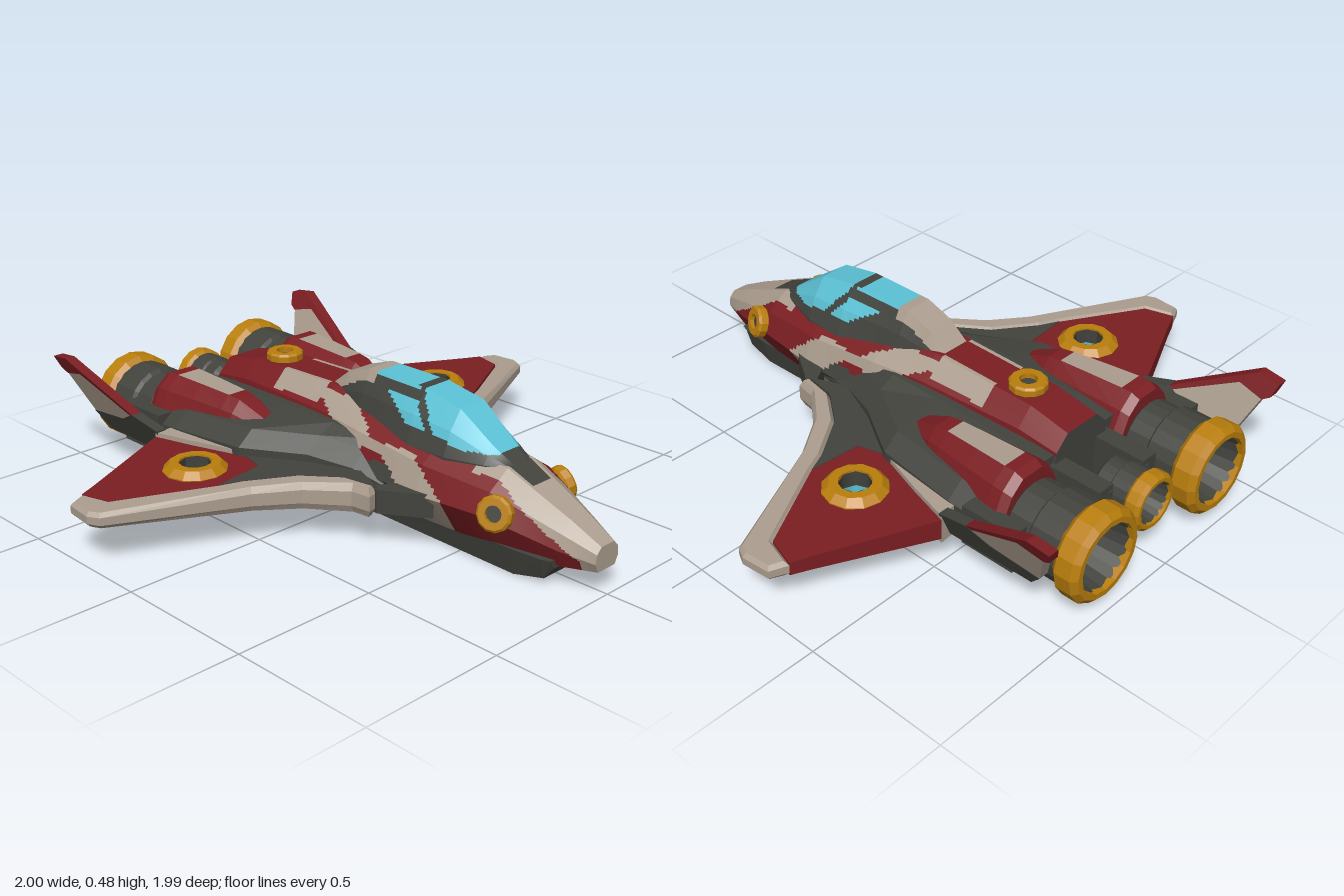
import * as THREE from 'three';

const mat = (name, color) => Object.assign(new THREE.MeshStandardMaterial({ color, side: THREE.DoubleSide }), { name });
const red = mat('red', 0x7b1e22), beige = mat('beige', 0xac9e8f), dark = mat('dark grey', 0x42433d);
const gold = mat('gold', 0xba7f0d), glass = mat('cyan glass', 0x5cc2d6);
const palette = [red, beige, dark, gold, glass];
const lerp = THREE.MathUtils.lerp;

function add(parent, name, geometry, material) {
  const mesh = new THREE.Mesh(geometry, material);
  mesh.name = name;
  parent.add(mesh);
  return mesh;
}

function faceted(geometry) {
  const g = geometry.index ? geometry.toNonIndexed() : geometry;
  g.computeVertexNormals();
  return g;
}

// Skins closed cross-sections (counter-clockwise, front to back); rule(|x|, y, z) picks each facet's material
function loft(parent, name, sections, rule, rows = 1, cols = 1) {
  const rings = [];
  const ringOf = ({ z, pts }) => pts.flatMap((p, i) => {
    const q = pts[(i + 1) % pts.length];
    return Array.from({ length: cols }, (_, k) => [lerp(p[0], q[0], k / cols), lerp(p[1], q[1], k / cols), z]);
  });
  sections.forEach((s, i) => {
    const a = ringOf(s);
    if (i === sections.length - 1) return rings.push(a);
    const b = ringOf(sections[i + 1]);
    for (let k = 0; k < rows; k++) rings.push(a.map((p, j) => p.map((v, c) => lerp(v, b[j][c], k / rows))));
  });
  const buckets = palette.map(() => []);
  const facet = (...t) => {
    const [x, y, z] = [0, 1, 2].map(c => t.reduce((sum, p) => sum + p[c], 0) / t.length);
    const bucket = buckets[palette.indexOf(rule(Math.abs(x), y, z))];
    for (let i = 1; i < t.length - 1; i++) bucket.push(...t[0], ...t[i], ...t[i + 1]);
  };
  const n = rings[0].length;
  for (let i = 0; i < rings.length - 1; i++) for (let j = 0; j < n; j++) {
    const k = (j + 1) % n;
    facet(rings[i][j], rings[i + 1][j], rings[i + 1][k], rings[i][k]);
  }
  facet(...rings[0]);
  facet(...rings[rings.length - 1].slice().reverse());
  const g = new THREE.BufferGeometry();
  g.setAttribute('position', new THREE.Float32BufferAttribute(buckets.flat(), 3));
  let start = 0;
  buckets.forEach((b, i) => {
    if (b.length) g.addGroup(start, b.length / 3, i);
    start += b.length / 3;
  });
  g.computeVertexNormals();
  return add(parent, name, g, palette);
}

// Symmetric section from right-half points listed bottom to top
const both = half => [...half, ...half.slice().reverse().map(([x, y]) => [-x, y])];

function lathe(parent, name, profile, material, sides = 14) {
  return add(parent, name, faceted(new THREE.LatheGeometry(profile.map(p => new THREE.Vector2(...p)), sides)), material);
}

// Bevelled ring about y, from y = 0 to h
function ring(parent, name, rOut, rIn, h, sides = 12) {
  const b = h * 0.2;
  return lathe(parent, name, [[rOut - b, 0], [rOut, b], [rOut, h - b], [rOut - b, h], [rIn, h], [rIn, 0], [rOut - b, 0]], gold, sides);
}

// Flat wing piece from plan points [x, z], thinning toward the tip
function wingPiece(parent, name, plan, half, material, { hole, bevel = 0 } = {}) {
  const shape = new THREE.Shape(plan.map(([x, z]) => new THREE.Vector2(x, -z)));
  if (hole) shape.holes.push(new THREE.Path().absarc(hole[0], -hole[1], hole[2], 0, Math.PI * 2, true));
  const g = new THREE.ExtrudeGeometry(shape, {
    depth: 1, bevelEnabled: true, bevelThickness: 0.5, bevelSize: bevel, bevelOffset: -bevel, bevelSegments: 1, curveSegments: 6,
  }).rotateX(-Math.PI / 2);
  const p = g.attributes.position;
  for (let i = 0; i < p.count; i++) {
    const t = half * lerp(1, 0.5, Math.min(1, Math.max(0, (p.getX(i) - 0.3) / 0.7)));
    p.setY(i, 0.172 + (p.getY(i) - 0.5) * t);
  }
  return add(parent, name, faceted(g), material);
}

// Fin piece from side points [z, y], leaning outward
function finPiece(parent, name, side, thick, material) {
  const shape = new THREE.Shape(side.map(([z, y]) => new THREE.Vector2(-z, y)));
  const g = new THREE.ExtrudeGeometry(shape, { depth: thick, bevelEnabled: false }).rotateY(Math.PI / 2);
  const p = g.attributes.position;
  for (let i = 0; i < p.count; i++) p.setX(i, p.getX(i) - thick / 2 + 0.47 + (p.getY(i) - 0.2) * 0.45);
  return add(parent, name, faceted(g), material);
}

// Exhaust pointing backward
function nozzle(parent, name, x, y, z, s, length) {
  const g = new THREE.Group();
  g.name = name;
  lathe(g, 'exhaustHousing', [[0.1, 0], [0.125, 0.02], [0.125, 0.1], [0.138, 0.11], [0.138, 0.23], [0.118, 0.29], [0.1, 0.17], [0, 0.17]], dark, 20);
  ring(g, 'exhaustRim', 0.156, 0.118, 0.095, 16).position.y = 0.21;
  add(g, 'exhaustCollar', new THREE.CylinderGeometry(0.09, 0.095, 0.02, 14), red).position.y = 0.18;
  add(g, 'exhaustCore', new THREE.CylinderGeometry(0.068, 0.075, 0.03, 14), gold).position.y = 0.195;
  g.rotation.x = -Math.PI / 2;
  g.position.set(x, y, z);
  g.scale.set(s, length, s);
  parent.add(g);
}

// Copies every mesh of a group across x = 0, keeping faces outward
function mirrored(group, name) {
  const out = new THREE.Group();
  out.name = name;
  group.updateMatrixWorld(true);
  group.traverse(m => {
    if (!m.isMesh) return;
    const g = m.geometry.index ? m.geometry.toNonIndexed() : m.geometry.clone();
    g.applyMatrix4(m.matrixWorld).scale(-1, 1, 1);
    const p = g.attributes.position.array;
    for (let i = 0; i < p.length; i += 9) for (let c = 3; c < 6; c++) [p[i + c], p[i + c + 3]] = [p[i + c + 3], p[i + c]];
    g.computeVertexNormals();
    add(out, m.name, g, m.material);
  });
  return out;
}

function hullPaint(x, y, z) {
  if (z > 0.64 && z < 0.73 && x < 0.045 && y > 0.25) return dark;
  if (z > 0.94 || (z > 0.56 && y > Math.min(0.3, 0.125 + (0.93 - z) * 0.62))) return beige;
  if (z < -0.12) {
    if (y < 0.305) return dark;
    return z > -0.34 && x > 0.06 && x < 0.125 ? beige : red;
  }
  // Slanted flank bands
  if (Math.abs(z - 0.41 + Math.max(0, y - 0.2) * 1.3) < 0.085 && y < 0.31) return beige;
  if (y > 0.275 && x > 0.085 && Math.abs(z - 0.11 + (y - 0.3) * 2.2) < 0.09) return beige;
  return y < 0.25 && z < 0.36 ? dark : red;
}

function canopyPaint(x, y, z) {
  if (z < 0.09) return x < 0.068 && y > 0.39 ? beige : dark;
  if (z > 0.605 || y < 0.35) return dark;
  const frame = 0.285 + (0.485 - y) * 0.8;
  if (z > frame + 0.012) return x < 0.112 ? glass : dark;
  if (x < 0.056 && y > 0.46) return z < frame - 0.012 ? glass : dark;
  return z < frame - 0.02 && z > 0.31 - (y - 0.36) * 1.7 && z > 0.16 && y > 0.38 && y < 0.45 ? glass : dark;
}

export function createModel() {
  const model = new THREE.Group();
  model.name = 'starfighter';

  // Fuselage: z, then half-width and height of bottom, flank, shoulder and top
  const hull = [
    [0.99, 0.04, 0.09, 0.055, 0.12, 0.05, 0.15, 0.03, 0.17],
    [0.88, 0.07, 0.08, 0.095, 0.14, 0.08, 0.19, 0.04, 0.225],
    [0.65, 0.11, 0.08, 0.172, 0.2, 0.14, 0.27, 0.06, 0.325],
    [0.4, 0.12, 0.08, 0.202, 0.2, 0.17, 0.29, 0.09, 0.35],
    [0.1, 0.12, 0.08, 0.205, 0.2, 0.165, 0.32, 0.08, 0.38],
    [-0.1, 0.12, 0.07, 0.18, 0.2, 0.145, 0.33, 0.07, 0.4],
    [-0.5, 0.12, 0.06, 0.14, 0.2, 0.125, 0.33, 0.07, 0.39],
    [-0.65, 0.1, 0.07, 0.13, 0.2, 0.12, 0.31, 0.07, 0.36],
  ].map(([z, ...v]) => ({ z, pts: both([0, 2, 4, 6].map(i => [v[i], v[i + 1]])) }));
  loft(model, 'fuselage', hull, hullPaint, 16, 10);

  // Canopy: z, base half-width, top half-width, top height
  const canopy = [[0.65, 0.06, 0.03, 0.325], [0.58, 0.09, 0.045, 0.37], [0.45, 0.13, 0.055, 0.46], [0.3, 0.14, 0.052, 0.488],
    [0.05, 0.115, 0.05, 0.49], [-0.05, 0.09, 0.05, 0.455], [-0.12, 0.08, 0.05, 0.4]]
    .map(([z, w, t, y]) => ({ z, pts: both([[w, 0.29], [w, 0.32], [lerp(w, t, 0.4), lerp(0.32, y, 0.55)], [t, y]]) }));
  loft(model, 'canopy', canopy, canopyPaint, 14, 8);

  // Belly keel
  const keel = [[0.86, 0.08, 0.07], [0.83, 0.09, 0.03], [0.72, 0.1, 0.008], [0.12, 0.1, 0.015], [-0.12, 0.11, 0.045], [-0.62, 0.1, 0.055]]
    .map(([z, w, y]) => ({ z, pts: both([[w, y], [w + 0.02, 0.1]]) }));
  loft(model, 'keel', keel, () => dark);

  // Dark engine bay behind the cockpit
  const bay = [[0.32, 0.19, 0.13, 0.22], [0.15, 0.23, 0.1, 0.27], [0, 0.29, 0.09, 0.29], [-0.2, 0.41, 0.095, 0.29], [-0.5, 0.44, 0.1, 0.28], [-0.64, 0.44, 0.11, 0.27]]
    .map(([z, w, lo, hi]) => ({
      z, pts: both([[w - 0.06, lo], [w, lo + 0.05], [w, hi - 0.05], [w - 0.06, hi], [Math.min(0.17, w - 0.08), hi + 0.03]]),
    }));
  loft(model, 'engineBay', bay, () => dark);

  // Spine vent and middle exhaust
  ring(model, 'spineVentRing', 0.064, 0.03, 0.035).position.set(0, 0.388, -0.43);
  add(model, 'spineVent', new THREE.CylinderGeometry(0.035, 0.035, 0.02, 12), dark).position.set(0, 0.395, -0.43);
  nozzle(model, 'middleExhaust', 0, 0.21, -0.755, 0.63, 0.62);

  const left = new THREE.Group();
  left.name = 'leftSide';

  // Wing panels
  wingPiece(left, 'wingLeadingEdge', [[0.27, 0.3], [0.31, 0.31], [0.32, 0.24], [0.42, 0.12], [0.55, 0.03], [0.98, -0.17], [1, -0.21],
    [0.99, -0.31], [0.93, -0.335], [0.9, -0.23], [0.6, -0.07], [0.53, -0.04], [0.38, 0.06], [0.29, 0.18]], 0.05, beige, { bevel: 0.012 });
  wingPiece(left, 'wingPanel', [[0.5, -0.53], [0.87, -0.36], [0.93, -0.335], [0.9, -0.23], [0.6, -0.07], [0.42, -0.09], [0.39, -0.2], [0.46, -0.38]],
    0.042, red, { hole: [0.565, -0.23, 0.08] });
  wingPiece(left, 'wingStripe', [[0.41, -0.52], [0.5, -0.53], [0.46, -0.38], [0.41, -0.22], [0.36, -0.22], [0.39, -0.35]], 0.06, beige);
  wingPiece(left, 'wingRoot', [[0.18, 0.1], [0.22, 0.18], [0.27, 0.3], [0.29, 0.18], [0.38, 0.06], [0.53, -0.04], [0.6, -0.07], [0.42, -0.09],
    [0.39, -0.2], [0.2, -0.22]], 0.045, dark);
  wingPiece(left, 'wingStrut', [[0.18, 0.46], [0.21, 0.42], [0.28, 0.31], [0.27, 0.27], [0.19, 0.32]], 0.04, dark);

  // Lift fan through the wing, glowing underneath
  ring(left, 'liftFanRing', 0.108, 0.054, 0.115).position.set(0.565, 0.115, -0.23);
  const sleeve = new THREE.CylinderGeometry(0.051, 0.051, 0.054, 8, 1, true);
  add(left, 'liftFanSleeve', sleeve, dark).position.set(0.565, 0.2, -0.23);
  add(left, 'liftFanGlow', sleeve, glass).position.set(0.565, 0.146, -0.23);

  // Engine nacelle with striped crown and belly: z, centre, half-width, half-height
  const nacelle = [[-0.22, 0.262, 0.06, 0.1], [-0.32, 0.268, 0.09, 0.142], [-0.37, 0.27, 0.098, 0.148], [-0.5, 0.275, 0.115, 0.155], [-0.62, 0.28, 0.128, 0.16],
    [-0.66, 0.28, 0.13, 0.16], [-0.69, 0.28, 0.12, 0.145]]
    .map(([z, cx, rx, ry]) => ({
      z, pts: both([[0.36, -1], [0.76, -0.72], [1, -0.3], [1, 0.3], [0.76, 0.72], [0.36, 1]]).map(([x, y]) => [cx + rx * x, 0.203 + ry * y]),
    }));
  loft(left, 'nacelle', nacelle, (x, y, z) =>
    z > -0.62 && z < -0.37 && Math.abs(x - 0.277) < 0.02 && Math.abs(y - 0.2) > 0.13 ? beige : red);
  nozzle(left, 'mainExhaust', 0.282, 0.195, -0.68, 1, 1);

  // Rail holding the middle exhaust, and the fin mount
  add(left, 'exhaustRail', new THREE.BoxGeometry(0.065, 0.14, 0.27), dark).position.set(0.107, 0.2, -0.7);
  add(left, 'exhaustBridge', new THREE.BoxGeometry(0.1, 0.1, 0.04), dark).position.set(0.05, 0.2, -0.82);
  add(left, 'finMount', new THREE.BoxGeometry(0.06, 0.14, 0.2), dark).position.set(0.425, 0.19, -0.67);

  // Tail fin
  finPiece(left, 'finBase', [[-0.52, 0.13], [-0.52, 0.23], [-0.64, 0.26], [-0.72, 0.22], [-0.9, 0.2], [-0.85, 0.14]], 0.04, dark);
  finPiece(left, 'finPanel', [[-0.65, 0.25], [-0.72, 0.22], [-0.9, 0.2], [-0.96, 0.345], [-0.87, 0.365]], 0.036, beige);
  finPiece(left, 'finTip', [[-0.63, 0.255], [-0.92, 0.41], [-1, 0.4], [-0.985, 0.355], [-0.96, 0.34], [-0.87, 0.36], [-0.65, 0.25]], 0.038, red);

  // Round port on the nose flank
  const port = new THREE.Group();
  port.name = 'nosePort';
  ring(port, 'nosePortRing', 0.058, 0.027, 0.04);
  add(port, 'nosePortCore', new THREE.CylinderGeometry(0.032, 0.032, 0.02, 12), dark).position.y = 0.016;
  port.quaternion.setFromUnitVectors(new THREE.Vector3(0, 1, 0), new THREE.Vector3(1, 0.3, 0.35).normalize());
  port.position.set(0.142, 0.215, 0.685);
  left.add(port);

  model.add(left, mirrored(left, 'rightSide'));
  return model;
}
